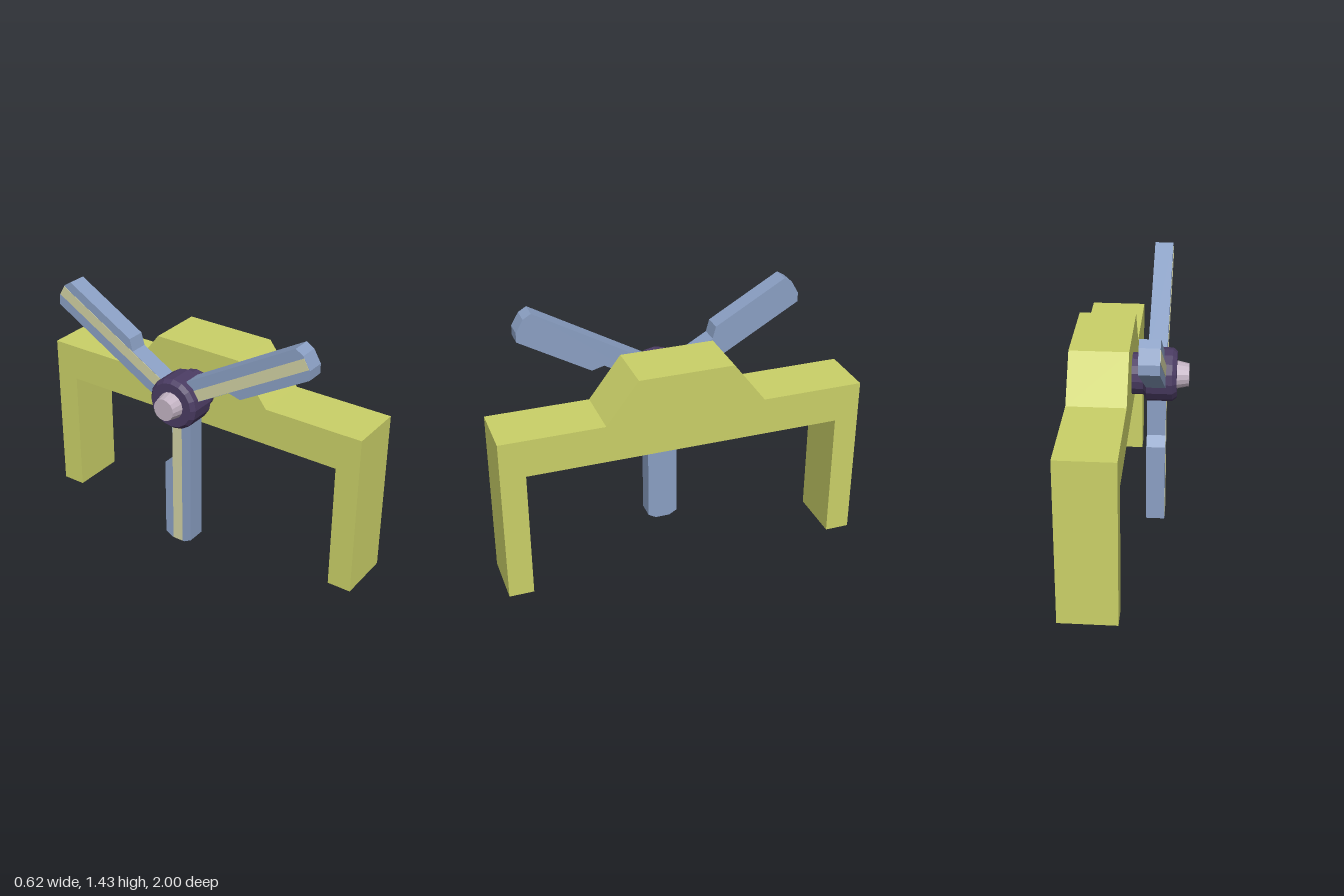
import * as THREE from 'three';

const HUB_Y = 0.927;

function paint(color) {
  return new THREE.MeshStandardMaterial({ color, flatShading: true });
}

// Extrude a (z, y) outline along x between xMin and xMax
function slab(name, outline, xMin, xMax, material) {
  const shape = new THREE.Shape(outline.map(([z, y]) => new THREE.Vector2(z, y)));
  const geometry = new THREE.ExtrudeGeometry(shape, { depth: xMax - xMin, bevelEnabled: false });
  geometry.rotateY(-Math.PI / 2);
  geometry.translate(xMax, 0, 0);
  const mesh = new THREE.Mesh(geometry, material);
  mesh.name = name;
  return mesh;
}

// Turn an [x, radius] profile around the hub axis
function turned(name, profile, material) {
  const points = profile.map(([x, r]) => new THREE.Vector2(r, x));
  const geometry = new THREE.LatheGeometry(points, 16);
  geometry.rotateZ(-Math.PI / 2);
  const mesh = new THREE.Mesh(geometry, material);
  mesh.name = name;
  mesh.position.y = HUB_Y;
  return mesh;
}

export function createModel() {
  const model = new THREE.Group();
  const yellow = paint(0xcbd168);
  const purple = paint(0x4b3c63);
  const pale = paint(0xc3b3c3);
  const blue = paint(0x8ba0c4);
  const beige = paint(0xd2d2a4);

  // Arched frame with a raised centre
  const half = [[0.865, 0.725], [0.865, 0], [1, 0], [1, 0.933], [0.437, 0.933], [0.26, 1.165]];
  const mirrored = half.map(([z, y]) => [-z, y]).reverse();
  model.add(slab('frame', [...half, ...mirrored], -0.005, 0.308, yellow));

  // Hub with its shaft into the frame, and the tapered nose
  model.add(turned('hub', [
    [-0.245, 0], [-0.245, 0.126], [-0.222, 0.145], [-0.085, 0.145],
    [-0.066, 0.113], [0, 0.113], [0, 0],
  ], purple));
  model.add(turned('nose', [[-0.31, 0], [-0.31, 0.062], [-0.24, 0.077], [-0.24, 0]], pale));

  // Three stepped blades, outlined as [distance from hub, sideways offset]
  const blade = [
    [0.03, -0.035], [0.356, -0.035], [0.406, -0.085], [0.862, -0.085],
    [0.887, -0.04], [0.887, 0.04], [0.862, 0.085], [0.03, 0.085],
  ];
  const stripe = [[0.1, -0.033], [0.886, -0.033], [0.886, 0.028], [0.1, 0.028]];
  for (let i = 0; i < 3; i++) {
    const angle = -Math.PI / 2 + (i * 2 * Math.PI) / 3;
    const c = Math.cos(angle), s = Math.sin(angle);
    const place = ([u, v]) => [u * c - v * s, HUB_Y + u * s + v * c];
    const arm = new THREE.Group();
    arm.name = 'blade' + (i + 1);
    arm.add(slab('bladeBody', blade.map(place), -0.188, -0.085, blue));
    arm.add(slab('bladeStripe', stripe.map(place), -0.19, -0.186, beige));
    model.add(arm);
  }
  return model;
}
